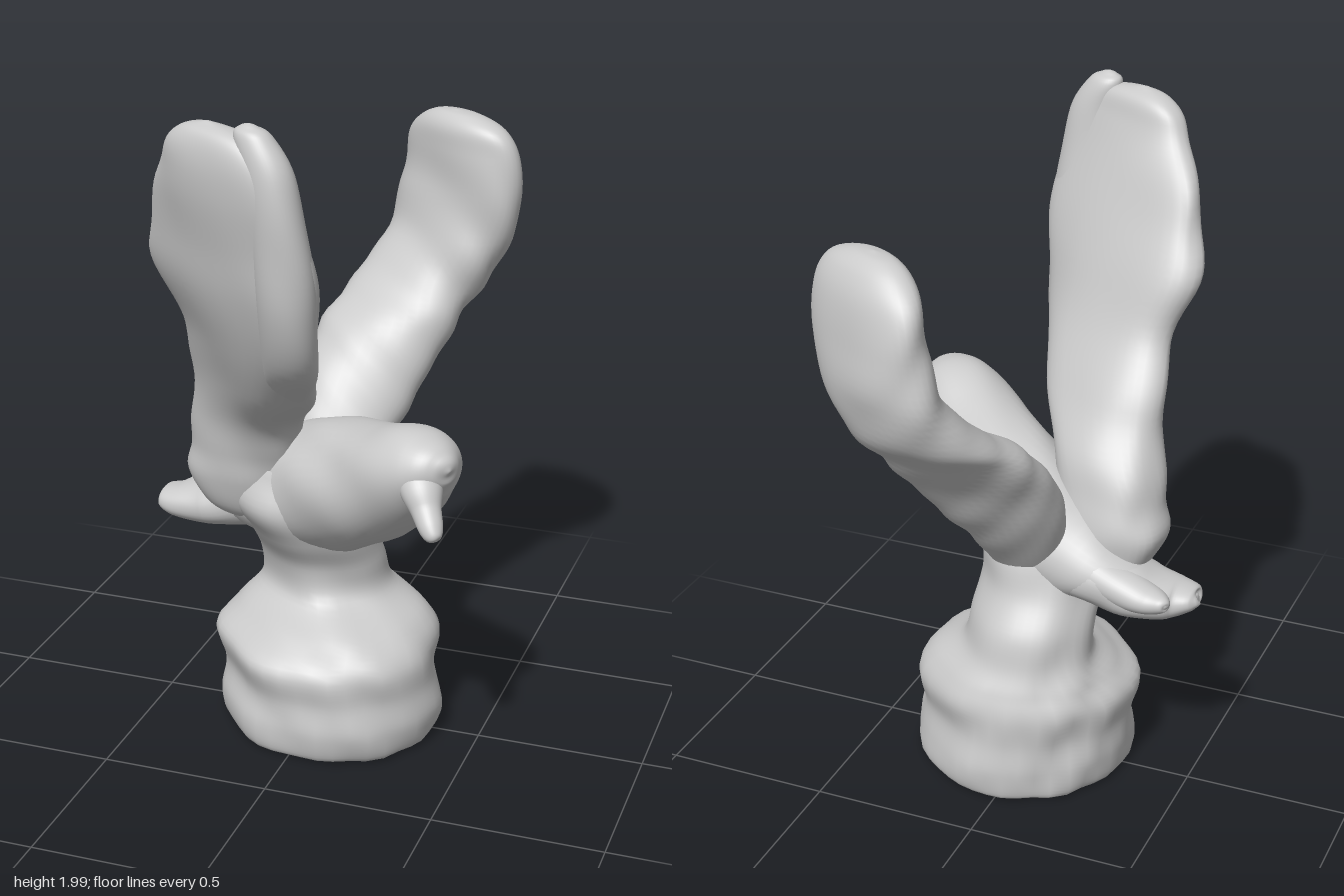
import * as THREE from 'three';

const UP = new THREE.Vector3(0, 1, 0);
const material = new THREE.MeshStandardMaterial({ color: 0xcccccc, side: THREE.DoubleSide });

// Gentle hand-modelled unevenness
const lumps = (p) =>
  Math.sin(p.x * 17 + p.y * 9) * Math.sin(p.z * 15 - p.y * 11 + 1) +
  0.5 * Math.sin(p.x * 31 - p.z * 27 + p.y * 23);

// Smooth skin through sections [x, y, z, halfWidth, halfDepth, turn].
// Level sections lie flat; otherwise they stand across the path.
function loft(name, sections, { level = true, power = 0.85, rough = 0.04, edge = null } = {}) {
  const path = new THREE.CatmullRomCurve3(
    sections.map((s) => new THREE.Vector3(s[0], s[1], s[2])), false, 'catmullrom', 0.5);
  const sizes = new THREE.CatmullRomCurve3(
    sections.map((s) => new THREE.Vector3(s[3], s[4], s[5] || 0)), false, 'catmullrom', 0.5);
  const rows = (sections.length - 1) * 6, cols = 40;
  const pos = [], index = [];
  const bend = (v) => Math.sign(v) * Math.abs(v) ** power;
  for (let i = 0; i <= rows; i++) {
    const c = path.getPoint(i / rows), s = sizes.getPoint(i / rows);
    const t = level ? UP : path.getTangent(i / rows);
    const u = level
      ? new THREE.Vector3(Math.cos(s.z), 0, Math.sin(s.z))
      : new THREE.Vector3().crossVectors(UP, t).normalize();
    const v = new THREE.Vector3().crossVectors(t, u);
    for (let j = 0; j < cols; j++) {
      const a = (j / cols) * Math.PI * 2;
      const d = new THREE.Vector3()
        .addScaledVector(u, bend(Math.cos(a)) * Math.max(s.x, 0.002))
        .addScaledVector(v, bend(Math.sin(a)) * Math.max(s.y, 0.002));
      let k = 1 + rough * lumps(c.clone().add(d));
      if (edge) k *= edge(a, i / rows);
      const p = c.clone().addScaledVector(d, k);
      pos.push(p.x, Math.max(p.y, 0), p.z);
    }
  }
  for (let i = 0; i < rows; i++) {
    for (let j = 0; j < cols; j++) {
      const a = i * cols + j, b = i * cols + ((j + 1) % cols);
      index.push(a, b, a + cols, b, b + cols, a + cols);
    }
  }
  // End caps
  for (let j = 1; j < cols - 1; j++) {
    const e = rows * cols;
    index.push(0, j + 1, j, e, e + j, e + j + 1);
  }
  const geometry = new THREE.BufferGeometry();
  geometry.setAttribute('position', new THREE.Float32BufferAttribute(pos, 3));
  geometry.setIndex(index);
  geometry.computeVertexNormals();
  const mesh = new THREE.Mesh(geometry, material);
  mesh.name = name;
  return mesh;
}

export function createModel() {
  const model = new THREE.Group();
  model.name = 'birdOnRock';
  const q = -Math.PI / 4;

  // Rock, slightly longer along one diagonal, with a narrower stem
  model.add(loft('rockBase', [
    [0.04, 0.005, -0.01, 0.285, 0.3, q],
    [0.035, 0.02, -0.005, 0.31, 0.335, q],
    [0.035, 0.1, 0, 0.322, 0.35, q],
    [0.03, 0.19, 0, 0.312, 0.342, q],
    [0.02, 0.29, 0, 0.32, 0.345, q],
    [0.02, 0.36, -0.03, 0.265, 0.3, q],
    [-0.01, 0.43, -0.08, 0.19, 0.215, q],
    [-0.02, 0.53, -0.07, 0.175, 0.2, q],
    [-0.03, 0.63, -0.01, 0.18, 0.19, q],
    [-0.04, 0.74, 0.03, 0.21, 0.18, q],
    [-0.04, 0.86, 0.04, 0.16, 0.14, q],
  ], { power: 0.93, rough: 0.03 }));

  // Body from tail root to head
  model.add(loft('bodyAndHead', [
    [-0.36, 0.67, -0.05, 0.08, 0.05],
    [-0.25, 0.70, -0.04, 0.13, 0.1],
    [-0.08, 0.75, 0.01, 0.18, 0.17],
    [0.08, 0.81, 0.085, 0.19, 0.195],
    [0.2, 0.865, 0.17, 0.18, 0.18],
    [0.3, 0.93, 0.25, 0.16, 0.155],
    [0.39, 0.995, 0.325, 0.13, 0.125],
    [0.45, 1.025, 0.37, 0.1, 0.088],
    [0.49, 1.035, 0.395, 0.05, 0.045],
    [0.505, 1.035, 0.405, 0.004, 0.004],
  ], { level: false, power: 1, rough: 0.03 }));

  // Hooked beak
  model.add(loft('beak', [
    [0.4, 1.02, 0.36, 0.06, 0.06],
    [0.43, 0.975, 0.415, 0.06, 0.055],
    [0.455, 0.93, 0.45, 0.042, 0.042],
    [0.48, 0.895, 0.485, 0.033, 0.033],
    [0.495, 0.878, 0.505, 0.02, 0.02],
    [0.5, 0.872, 0.51, 0.002, 0.002],
  ], { level: false, power: 1 }));

  // Tail fan with a separate corner feather
  model.add(loft('tailFan', [
    [-0.52, 0.65, -0.02, 0.01, 0.01],
    [-0.51, 0.648, -0.02, 0.055, 0.03],
    [-0.45, 0.64, -0.015, 0.085, 0.052],
    [-0.37, 0.65, -0.03, 0.115, 0.068],
    [-0.27, 0.68, -0.04, 0.13, 0.09],
    [-0.15, 0.72, -0.03, 0.13, 0.1],
  ], { level: false, power: 0.9 }));
  model.add(loft('tailCornerFeather', [
    [-0.465, 0.675, -0.145, 0.004, 0.004],
    [-0.455, 0.675, -0.14, 0.025, 0.022],
    [-0.4, 0.67, -0.115, 0.055, 0.04],
    [-0.3, 0.69, -0.1, 0.07, 0.06],
    [-0.18, 0.73, -0.09, 0.07, 0.07],
  ], { level: false, power: 1 }));

  // Right wing: broad plate with a scalloped trailing edge
  const scallop = (a, t) =>
    1 + 0.035 * Math.max(0, -Math.cos(a)) * Math.sin(t * 45) + 0.02 * Math.sin(a * 3 + t * 8);
  model.add(loft('rightWing', [
    [-0.18, 0.64, 0.01, 0.06, 0.06, 0.2],
    [-0.21, 0.7, 0.03, 0.14, 0.11, 0.2],
    [-0.22, 0.8, 0.05, 0.18, 0.13, 0.25],
    [-0.21, 0.9, 0.07, 0.18, 0.13, 0.3],
    [-0.18, 1.02, 0.115, 0.18, 0.125, 0.45],
    [-0.125, 1.16, 0.23, 0.24, 0.11, 0.6],
    [-0.08, 1.32, 0.355, 0.275, 0.1, 0.6],
    [-0.095, 1.5, 0.425, 0.31, 0.1, 0.55],
    [-0.1, 1.65, 0.475, 0.3, 0.09, 0.5],
    [-0.09, 1.79, 0.525, 0.25, 0.08, 0.48],
    [-0.09, 1.89, 0.55, 0.2, 0.068, 0.46],
    [-0.1, 1.955, 0.55, 0.13, 0.05, 0.46],
    [-0.12, 1.98, 0.545, 0.01, 0.006, 0.46],
  ], { edge: scallop }));

  // Thick rib along the right wing's leading edge
  model.add(loft('rightWingRib', [
    [0, 1.1, 0.26, 0.03, 0.03, 0.6],
    [0.03, 1.2, 0.37, 0.08, 0.06, 0.6],
    [0.08, 1.32, 0.49, 0.09, 0.07, 0.6],
    [0.1, 1.5, 0.57, 0.09, 0.07, 0.5],
    [0.09, 1.7, 0.595, 0.085, 0.07, 0.5],
    [0.065, 1.87, 0.605, 0.08, 0.062, 0.5],
    [0.025, 1.965, 0.6, 0.06, 0.045, 0.5],
    [0.015, 1.99, 0.6, 0.03, 0.02, 0.5],
    [0.015, 1.998, 0.6, 0.003, 0.003, 0.5],
  ], { power: 1 }));

  // Left wing: leaning arm ending in an upright paddle
  model.add(loft('leftWing', [
    [0, 0.68, -0.04, 0.12, 0.1, 0],
    [0, 0.8, -0.11, 0.14, 0.12, -0.2],
    [0.02, 0.93, -0.195, 0.175, 0.135, -0.4],
    [0.05, 1.06, -0.285, 0.2, 0.135, -0.4],
    [0.095, 1.18, -0.39, 0.2, 0.14, -0.25],
    [0.155, 1.28, -0.49, 0.2, 0.135, 0.2],
    [0.23, 1.42, -0.535, 0.225, 0.11, 0.5],
    [0.255, 1.56, -0.535, 0.235, 0.095, 0.52],
    [0.265, 1.68, -0.525, 0.215, 0.085, 0.52],
    [0.265, 1.75, -0.51, 0.165, 0.07, 0.52],
    [0.25, 1.785, -0.51, 0.09, 0.04, 0.5],
    [0.245, 1.795, -0.51, 0.004, 0.004, 0.5],
  ], { power: 0.95 }));

  return model;
}
